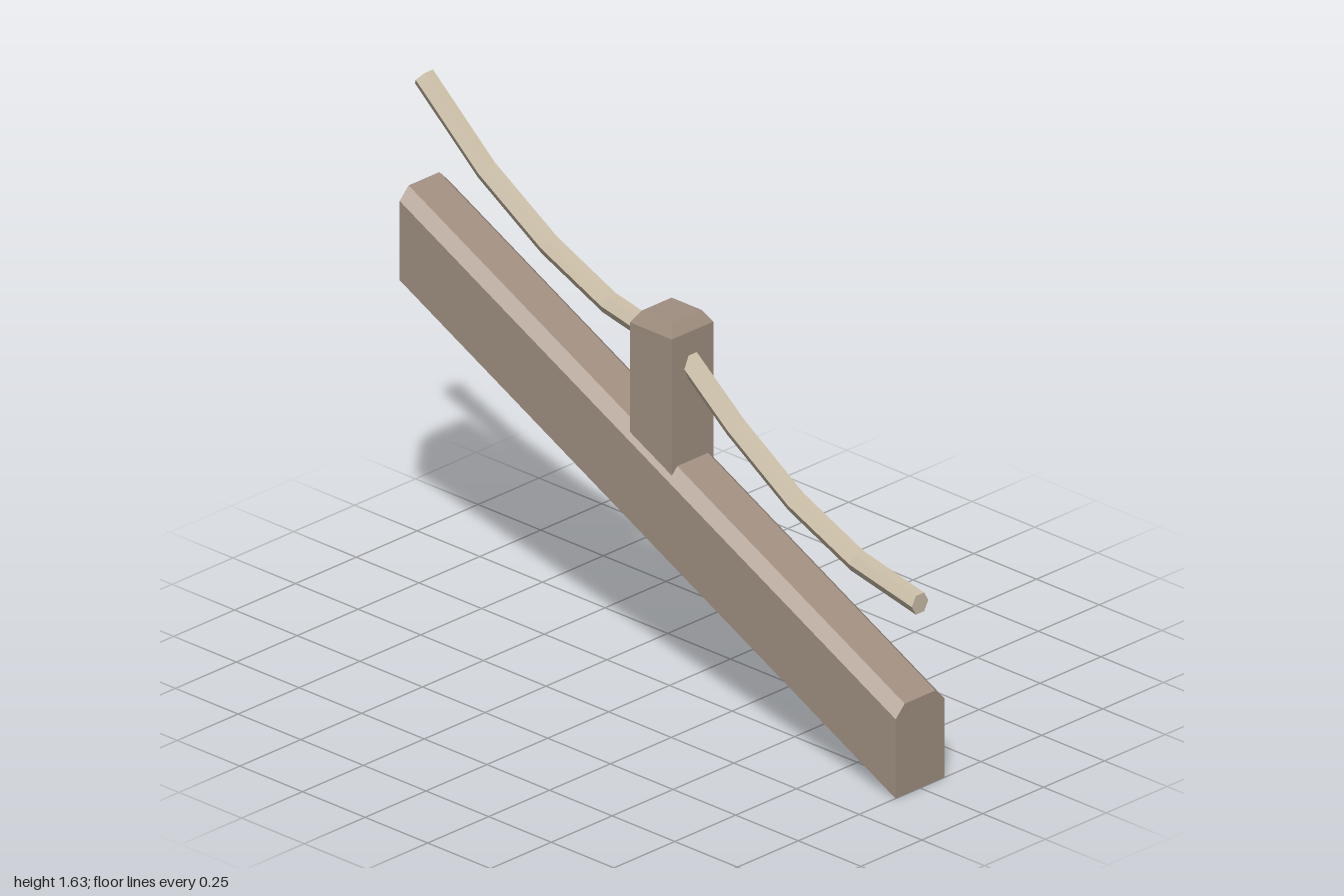
import * as THREE from 'three';

const HALF_WIDTH = 0.1;

// Split every face so that the shading is flat
function faceted(geometry) {
  const flat = geometry.index ? geometry.toNonIndexed() : geometry;
  flat.computeVertexNormals();
  return flat;
}

// Sloping beam: chamfered profile extruded along x, then sheared downhill
function beamGeometry() {
  const xMin = -0.98, xMax = 1, slope = -0.5025;
  const profile = new THREE.Shape([
    [-HALF_WIDTH, 0], [HALF_WIDTH, 0], [HALF_WIDTH, 0.25],
    [0.063, 0.287], [-0.063, 0.287], [-HALF_WIDTH, 0.25],
  ].map(([x, y]) => new THREE.Vector2(x, y)));
  const g = new THREE.ExtrudeGeometry(profile, { depth: xMax - xMin, bevelEnabled: false });
  g.rotateY(Math.PI / 2).translate(xMin, 0, 0);
  const p = g.attributes.position;
  for (let i = 0; i < p.count; i++) p.setY(i, p.getY(i) + slope * (p.getX(i) - xMax));
  return faceted(g);
}

// Square post with a tapered top
function postGeometry() {
  const g = new THREE.BoxGeometry(0.167, 2, 0.171, 1, 2, 1);
  const p = g.attributes.position;
  for (let i = 0; i < p.count; i++) {
    const level = Math.round(p.getY(i)) + 1;
    const inset = level === 2 ? 0.72 : 1;
    p.setXYZ(i, p.getX(i) * inset, [0.62, 1.15, 1.187][level], p.getZ(i) * inset);
  }
  g.translate(0.009, 0, 0);
  return faceted(g);
}

// Six-sided rope following [x, y] points, with closed ends
function ropeGeometry(points, endTangents) {
  const sides = 6, radius = 0.034, last = points.length - 1;
  const path = points.map(([x, y]) => new THREE.Vector3(x, y, 0));
  const rings = path.map((c, i) => {
    const t = path[Math.min(i + 1, last)].clone().sub(path[Math.max(i - 1, 0)]);
    if (i === 0 && endTangents[0]) t.set(...endTangents[0], 0);
    if (i === last && endTangents[1]) t.set(...endTangents[1], 0);
    t.normalize();
    return Array.from({ length: sides }, (_, k) => {
      const a = (k + 0.5) * Math.PI * 2 / sides;
      const up = radius * Math.cos(a);
      return new THREE.Vector3(c.x - t.y * up, c.y + t.x * up, radius * Math.sin(a));
    });
  });
  const tris = [];
  for (let k = 0; k < sides; k++) {
    const n = (k + 1) % sides;
    for (let i = 0; i < last; i++) {
      const [a, b] = [rings[i], rings[i + 1]];
      tris.push(a[k], a[n], b[n], a[k], b[n], b[k]);
    }
    tris.push(path[0], rings[0][n], rings[0][k]);
    tris.push(path[last], rings[last][k], rings[last][n]);
  }
  return faceted(new THREE.BufferGeometry().setFromPoints(tris));
}

export function createModel() {
  const wood = new THREE.MeshStandardMaterial({ color: 0xa08f80 });
  wood.name = 'weathered wood';
  const hemp = new THREE.MeshStandardMaterial({ color: 0xc9bda6 });
  hemp.name = 'rope';

  const model = new THREE.Group();
  model.name = 'slopedRopeRailing';
  const add = (name, geometry, material) => {
    const mesh = new THREE.Mesh(geometry, material);
    mesh.name = name;
    model.add(mesh);
  };

  add('beam', beamGeometry(), wood);
  add('post', postGeometry(), wood);

  // Sagging ropes on the uphill and downhill sides of the post
  add('upperRope', ropeGeometry(
    [[-0.98, 1.605], [-0.73, 1.39], [-0.48, 1.235], [-0.24, 1.13], [0.01, 1.078]], []), hemp);
  add('lowerRope', ropeGeometry(
    [[0.01, 1.105], [0.265, 0.9], [0.505, 0.743], [0.75, 0.636], [1, 0.582]],
    [null, [1, 0]]), hemp);

  return model;
}
